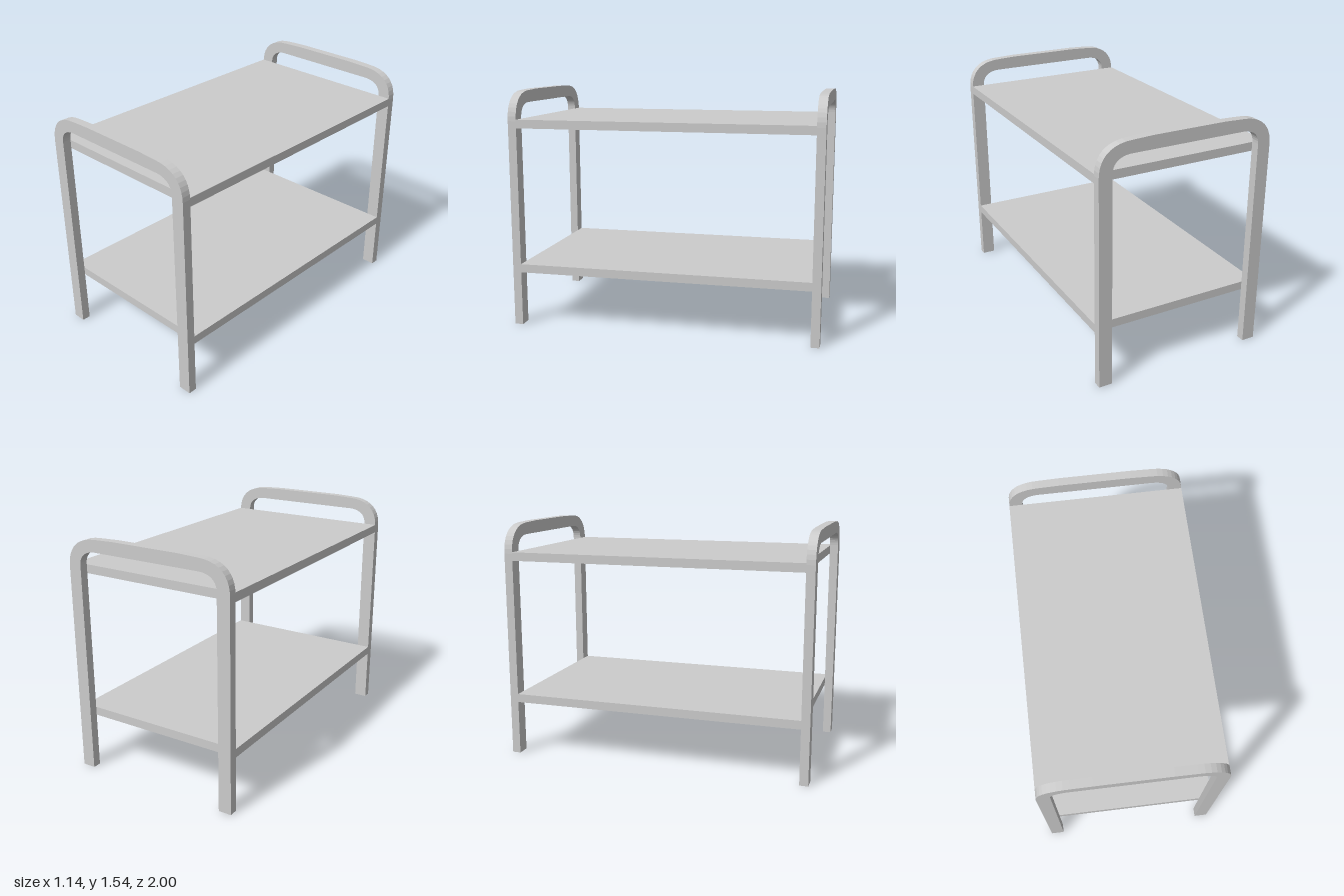
import * as THREE from 'three';

const HALF_WIDTH = 0.57, HALF_LENGTH = 1, TUBE_DEPTH = 0.055;

// Flat arch: two legs joined by a rounded handle
function archShape() {
  const s = new THREE.Shape();
  s.moveTo(HALF_WIDTH, 0);
  s.lineTo(HALF_WIDTH, 1.345);
  s.bezierCurveTo(0.57, 1.45, 0.51, 1.53, 0.36, 1.532);
  s.lineTo(0.23, 1.537);
  s.lineTo(-0.23, 1.537);
  s.lineTo(-0.36, 1.532);
  s.bezierCurveTo(-0.51, 1.53, -0.57, 1.45, -HALF_WIDTH, 1.345);
  s.lineTo(-HALF_WIDTH, 0);
  s.lineTo(-0.485, 0);
  s.lineTo(-0.485, 1.36);
  s.bezierCurveTo(-0.485, 1.42, -0.44, 1.453, -0.37, 1.455);
  s.lineTo(0.37, 1.455);
  s.bezierCurveTo(0.44, 1.453, 0.485, 1.42, 0.485, 1.36);
  s.lineTo(0.485, 0);
  s.closePath();
  return s;
}

export function createModel() {
  const group = new THREE.Group();
  group.name = 'twoTierCart';
  const material = new THREE.MeshStandardMaterial({ color: 0xcccccc });

  const add = (name, geometry, y, z) => {
    const mesh = new THREE.Mesh(geometry, material);
    mesh.name = name;
    mesh.position.set(0, y, z);
    group.add(mesh);
  };

  // End frames with handles
  const frame = new THREE.ExtrudeGeometry(archShape(), {
    depth: TUBE_DEPTH, bevelEnabled: false, curveSegments: 10,
  });
  add('frontFrame', frame, 0, HALF_LENGTH - TUBE_DEPTH);
  add('backFrame', frame, 0, -HALF_LENGTH);

  // Shelves spanning between the frames
  const shelf = new THREE.BoxGeometry(HALF_WIDTH * 2, 0.055, 2 * (HALF_LENGTH - TUBE_DEPTH));
  add('lowerShelf', shelf, 0.383, 0);
  add('upperShelf', shelf, 1.328, 0);

  return group;
}
